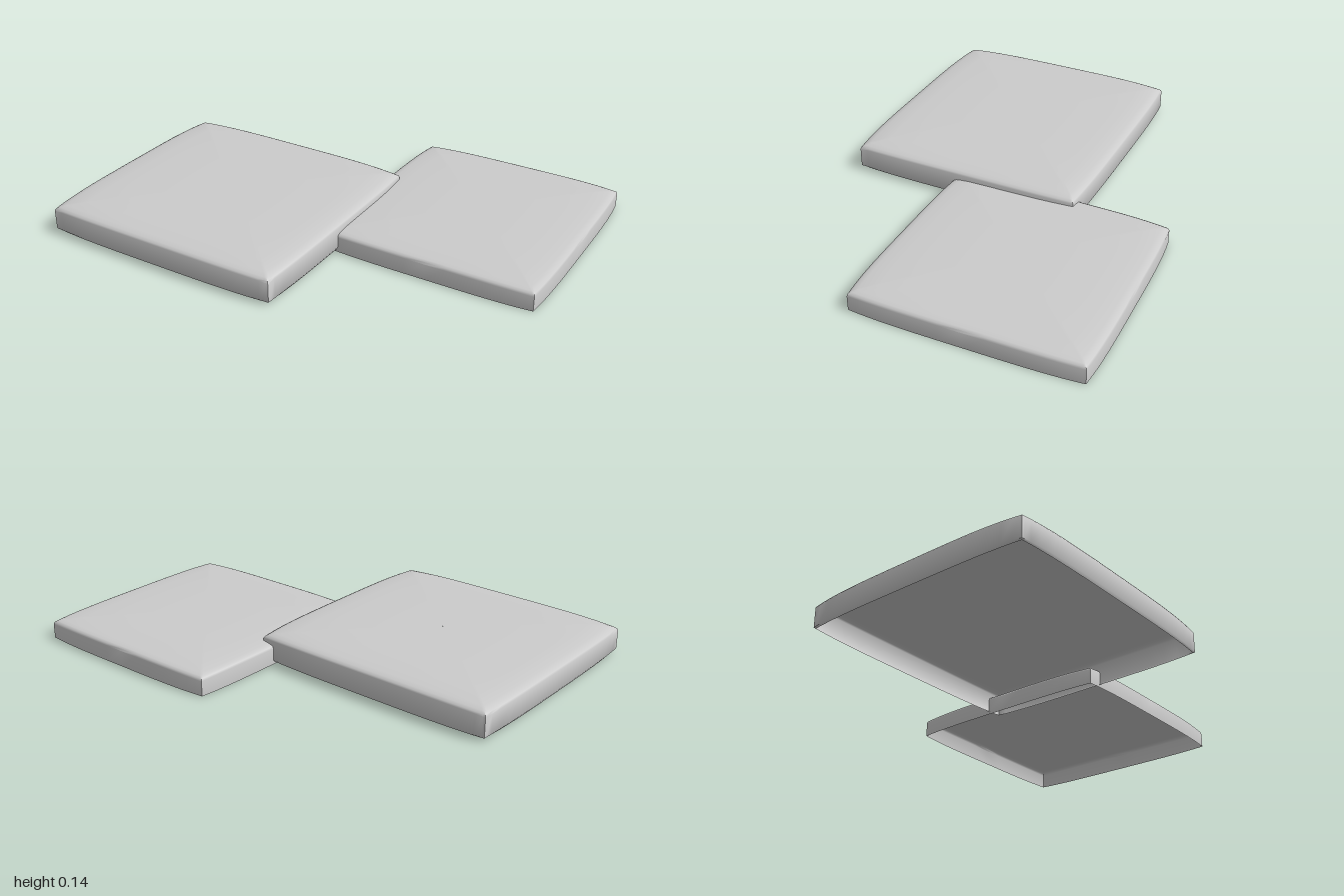
import * as THREE from 'three';
import { toCreasedNormals } from 'three/addons/utils/BufferGeometryUtils.js';

const SIDE = 16; // points along each side of a slab

// Point number i on the outline of the square -1..1
function squarePoint(i) {
  const t = Math.sin(((i % SIDE) / SIDE - 0.5) * Math.PI);
  return [[t, 1], [1, -t], [-t, -1], [-1, t]][Math.floor(i / SIDE) % 4];
}

// Open-bottomed pillow slab: square rings following [scale, height] steps
function slabGeometry({ corners, bulge, profile, drop }) {
  const [bl, br, fl, fr] = corners;
  const n = SIDE * 4;
  const positions = [], index = [];
  const mix = (u, v, k) =>
    ((bl[k] * (1 - u) + br[k] * (1 + u)) * (1 - v) + (fl[k] * (1 - u) + fr[k] * (1 + u)) * (1 + v)) / 4;
  profile.forEach(([s, y], r) => {
    for (let i = 0; i < n; i++) {
      const [a, b] = squarePoint(i);
      const u = a * s, v = b * s;
      const x = mix(u, v, 0) + bulge * u * (1 - v ** 4);
      const z = mix(u, v, 1) + bulge * v * (1 - u ** 4);
      const sag = r === 0 ? 0 : drop * (u * v) ** 4; // corners sit a little lower
      positions.push(x, y - sag, z);
      if (r > 0) {
        const j = (i + 1) % n, p = (r - 1) * n, q = r * n;
        index.push(p + i, p + j, q + j, p + i, q + j, q + i);
      }
    }
  });
  const geometry = new THREE.BufferGeometry();
  geometry.setAttribute('position', new THREE.Float32BufferAttribute(positions, 3));
  geometry.setIndex(index);
  return toCreasedNormals(geometry, 0.9);
}

export function createModel() {
  const group = new THREE.Group();
  const material = new THREE.MeshStandardMaterial({ color: 0xcccccc, side: THREE.DoubleSide });

  const add = (name, options) => {
    const mesh = new THREE.Mesh(slabGeometry(options), material);
    mesh.name = name;
    group.add(mesh);
  };

  // Larger, thicker slab, with a slightly tucked lower edge
  add('largeSlab', {
    corners: [[-0.982, -0.316], [0.112, -0.312], [0.108, 0.718], [-0.985, 0.714]].map((c, i, l) => l[[0, 1, 3, 2][i]]),
    bulge: 0.016,
    drop: 0.008,
    profile: [[0.988, 0.01], [1, 0.022], [1, 0.108], [0.992, 0.115], [0.97, 0.121], [0.93, 0.126],
      [0.8, 0.13], [0.5, 0.134], [0.25, 0.135], [0.001, 0.135]],
  });

  // Smaller, thinner slab, tucked under the corner of the large one
  add('smallSlab', {
    corners: [[0.066, -0.717], [0.976, -0.731], [0.064, 0.235], [0.986, 0.23]],
    bulge: 0.014,
    drop: 0.006,
    profile: [[1, 0], [1, 0.07], [0.992, 0.079], [0.97, 0.084], [0.93, 0.087],
      [0.8, 0.091], [0.5, 0.095], [0.25, 0.096], [0.001, 0.096]],
  });

  return group;
}
